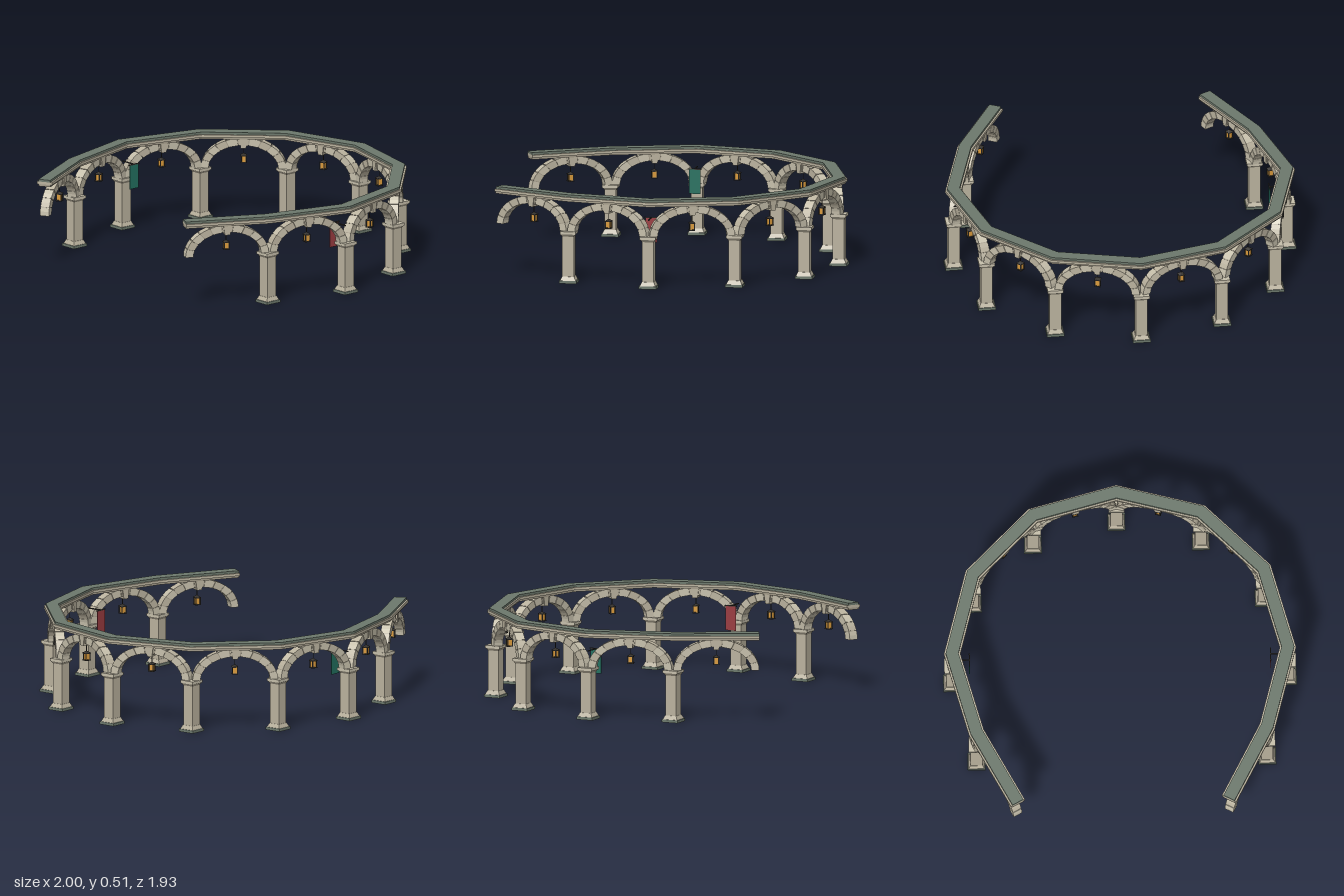
import * as THREE from 'three';

const mat = (name, color, side = THREE.FrontSide) => {
  const m = new THREE.MeshStandardMaterial({ color, side });
  m.name = name;
  return m;
};
const stone = mat('stone', 0xbab29e);
const paleStone = mat('pale stone', 0xc6bfab);
const darkStone = mat('dark stone', 0xa39b89);
const slate = mat('green slate', 0x6c786c);
const iron = mat('dark iron', 0x35322e);
const amber = mat('amber glass', 0xd99a3c);
const red = mat('red cloth', 0x9a3c40);
const teal = mat('teal cloth', 0x23705f);

const CZ = 0.03, R = 0.95, SPRING = 0.295;

function add(parent, name, geo, material, x = 0, y = 0, z = 0) {
  const m = new THREE.Mesh(geo, material);
  m.name = name;
  m.position.set(x, y, z);
  parent.add(m);
  return m;
}
const box = (w, h, d) => new THREE.BoxGeometry(w, h, d);

// Square block whose top and bottom widths differ
function taper(bottom, top, h) {
  const g = box(1, h, 1), p = g.attributes.position;
  for (let i = 0; i < p.count; i++) {
    const w = p.getY(i) > 0 ? top : bottom;
    p.setX(i, p.getX(i) * w);
    p.setZ(i, p.getZ(i) * w);
  }
  g.computeVertexNormals();
  return g;
}

// Mitred beam of rectangular section along a flat path
function beam(path, w, y0, y1) {
  const pos = [], idx = [], n = path.length;
  path.forEach((p, i) => {
    const a = p.clone().sub(path[Math.max(i - 1, 0)]).normalize();
    const b = path[Math.min(i + 1, n - 1)].clone().sub(p).normalize();
    const t = a.clone().add(b).normalize();
    const k = i === 0 || i === n - 1 ? 1 : t.dot(a);
    const nx = -t.y * w / 2 / k, nz = t.x * w / 2 / k;
    for (const [s, y] of [[-1, y0], [1, y0], [1, y1], [-1, y1]]) pos.push(p.x + nx * s, y, p.y + nz * s);
  });
  for (let i = 0; i < n - 1; i++) {
    for (let j = 0; j < 4; j++) {
      const a = i * 4 + j, b = i * 4 + (j + 1) % 4, c = b + 4, d = a + 4;
      idx.push(a, c, b, a, d, c);
    }
  }
  const e = (n - 1) * 4;
  idx.push(0, 1, 2, 0, 2, 3, e, e + 2, e + 1, e, e + 3, e + 2);
  const indexed = new THREE.BufferGeometry();
  indexed.setAttribute('position', new THREE.Float32BufferAttribute(pos, 3));
  indexed.setIndex(idx);
  const g = indexed.toNonIndexed();
  g.computeVertexNormals();
  return g;
}

function column() {
  const g = new THREE.Group();
  g.name = 'column';
  add(g, 'plinth', box(0.1, 0.016, 0.1), slate, 0, 0.008);
  add(g, 'base', taper(0.09, 0.07, 0.022), stone, 0, 0.027);
  add(g, 'shaft', box(0.066, 0.25, 0.066), stone, 0, 0.155);
  add(g, 'neck', taper(0.066, 0.084, 0.014), darkStone, 0, 0.274);
  add(g, 'capital', box(0.09, 0.016, 0.09), paleStone, 0, 0.289);
  return g;
}

function lantern() {
  const g = new THREE.Group();
  g.name = 'lantern';
  add(g, 'lanternRod', new THREE.CylinderGeometry(0.0025, 0.0025, 0.05, 6), iron, 0, 0.398);
  const roof = add(g, 'lanternRoof', new THREE.ConeGeometry(0.026, 0.014, 4), iron, 0, 0.375);
  roof.rotation.y = Math.PI / 4;
  add(g, 'lanternTop', box(0.034, 0.005, 0.034), iron, 0, 0.367);
  add(g, 'lanternGlass', box(0.024, 0.036, 0.024), amber, 0, 0.347);
  add(g, 'lanternBottom', box(0.034, 0.006, 0.034), iron, 0, 0.328);
  for (const x of [-1, 1]) for (const z of [-1, 1])
    add(g, 'lanternPost', box(0.005, 0.036, 0.005), iron, x * 0.013, 0.347, z * 0.013);
  return g;
}

function arch() {
  const g = new THREE.Group();
  g.name = 'arch';
  const N = 11, gap = 0.012;
  const at = (a, rx, ry) => new THREE.Vector2(Math.cos(a) * rx, SPRING + Math.sin(a) * ry);
  for (let i = 0; i < N; i++) {
    const a = Math.PI * i / N + gap, b = Math.PI * (i + 1) / N - gap, m = (a + b) / 2;
    const shape = new THREE.Shape([
      at(a, 0.243, 0.178), at(m, 0.243, 0.178), at(b, 0.243, 0.178),
      at(b, 0.198, 0.135), at(m, 0.198, 0.135), at(a, 0.198, 0.135)]);
    const geo = new THREE.ExtrudeGeometry(shape, { depth: 0.054, bevelEnabled: false });
    add(g, 'archStone', geo, i % 2 ? stone : paleStone, 0, 0, -0.027);
  }
  // Dark mortar core behind the joints
  const core = [];
  for (let i = 0; i <= 22; i++) core.push(at(Math.PI * i / 22, 0.24, 0.174));
  for (let i = 22; i >= 0; i--) core.push(at(Math.PI * i / 22, 0.201, 0.138));
  add(g, 'mortar', new THREE.ExtrudeGeometry(new THREE.Shape(core), { depth: 0.048, bevelEnabled: false }),
    darkStone, 0, 0, -0.024);
  // Wedge keystone
  const key = new THREE.Shape([[-0.015, 0.415], [0.015, 0.415], [0.023, 0.475], [-0.023, 0.475]]
    .map(([x, y]) => new THREE.Vector2(x, y)));
  add(g, 'keystone', new THREE.ExtrudeGeometry(key, { depth: 0.068, bevelEnabled: false }), stone, 0, 0, -0.034);
  g.add(lantern());
  return g;
}

function banner(side, cloth) {
  const g = new THREE.Group();
  g.name = 'banner';
  add(g, 'bannerArm', box(0.1, 0.006, 0.006), iron, side * 0.9, 0.388, CZ);
  add(g, 'bannerBar', box(0.006, 0.006, 0.076), iron, side * 0.852, 0.388, CZ);
  add(g, 'bannerCloth', box(0.004, 0.14, 0.066), cloth, side * 0.852, 0.317, CZ);
  return g;
}

export function createModel() {
  const model = new THREE.Group();
  model.name = 'arcade';

  // Path through the nine columns, with a free end on each side
  const path = [new THREE.Vector2(-0.597, 0.935)];
  for (let i = -4; i <= 4; i++) {
    const a = i * Math.PI / 6;
    path.push(new THREE.Vector2(R * Math.sin(a), CZ - R * Math.cos(a)));
  }
  path.push(new THREE.Vector2(0.597, 0.935));

  for (const p of path.slice(1, -1)) {
    const c = column();
    c.position.set(p.x, 0, p.y);
    model.add(c);
  }
  for (let i = 0; i < path.length - 1; i++) {
    const d = path[i + 1].clone().sub(path[i]);
    const a = arch();
    a.position.set((path[i].x + path[i + 1].x) / 2, 0, (path[i].y + path[i + 1].y) / 2);
    a.rotation.y = Math.atan2(-d.y, d.x);
    model.add(a);
  }

  // Layered beam with slate capping
  add(model, 'lowerBeam', beam(path, 0.072, 0.468, 0.482), darkStone);
  add(model, 'cornice', beam(path, 0.09, 0.48, 0.495), stone);
  add(model, 'capping', beam(path, 0.07, 0.494, 0.508), slate);

  model.add(banner(-1, teal), banner(1, red));
  return model;
}
